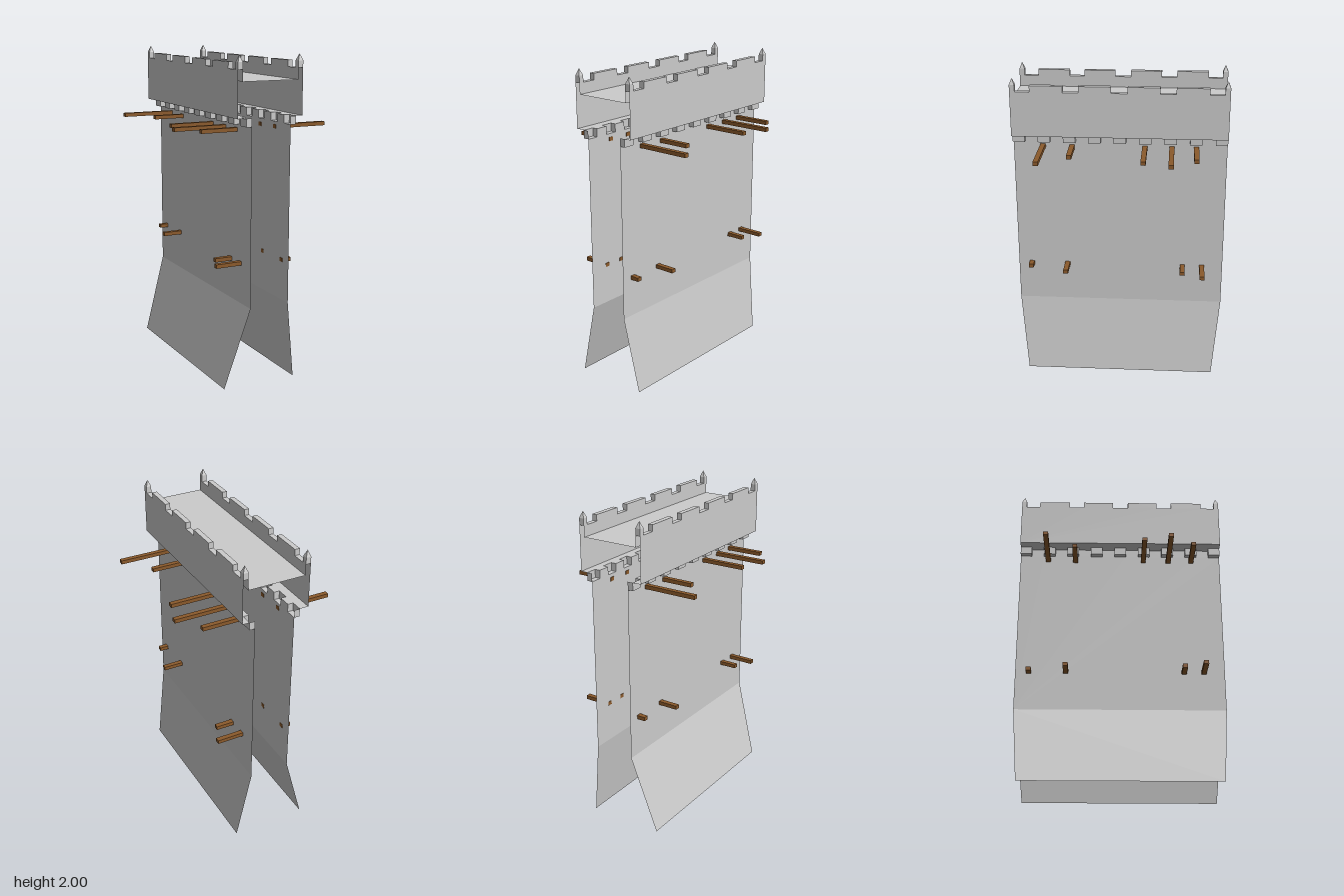
import * as THREE from 'three';

const END = 0.66, WALL_TOP = 1.64, CORBEL_LOW = 1.59, FLOOR = 1.85;
const CORBEL_DEPTH = 0.035, PARAPET = 0.032;
const stone = new THREE.MeshStandardMaterial({ color: 0xcccccc, flatShading: true, side: THREE.DoubleSide });
const wood = new THREE.MeshStandardMaterial({ color: 0x8b5a2b, flatShading: true });

function mesh(name, geometry, material = stone) {
  const m = new THREE.Mesh(geometry, material);
  m.name = name;
  return m;
}

// Strip of flat quads joining two matching lines of [x, y, z] points
function strip(a, b) {
  const pos = [];
  for (let i = 0; i < a.length - 1; i++) {
    pos.push(...a[i], ...b[i], ...b[i + 1], ...a[i], ...b[i + 1], ...a[i + 1]);
  }
  const g = new THREE.BufferGeometry();
  g.setAttribute('position', new THREE.Float32BufferAttribute(pos, 3));
  g.computeVertexNormals();
  return g;
}

// Stepped [z, y] line: alternates between two heights at the given cuts
function stepped(cuts, first, second) {
  const path = [];
  for (let i = 0; i < cuts.length - 1; i++) {
    const y = i % 2 ? second : first;
    path.push([cuts[i], y], [cuts[i + 1], y]);
  }
  return path;
}

// Upright sheet facing +x, from a base height up to a stepped line
function sheet(path, base, x) {
  const shape = new THREE.Shape([[-END, base], [END, base], ...[...path].reverse()]
    .map(([z, y]) => new THREE.Vector2(z, y)));
  return new THREE.ShapeGeometry(shape).rotateY(Math.PI / 2).translate(x, 0, 0);
}

const ribbon = (path, x0, x1) =>
  strip(path.map(([z, y]) => [x0, y, z]), path.map(([z, y]) => [x1, y, z]));

// Nine corbels and the gaps between them
const corbelCuts = [-END];
for (let i = 0; i < 9; i++) {
  const c = (i - 4) * 0.156;
  if (i > 0) corbelCuts.push(c - 0.038);
  if (i < 8) corbelCuts.push(c + 0.038);
}
corbelCuts.push(END);
const corbelPath = stepped(corbelCuts, CORBEL_LOW, WALL_TOP);
const merlonPath = stepped([-END, -0.54, -0.34, -0.245, -0.05, 0.05, 0.245, 0.34, 0.54, END], 1.918, 1.957);

// Beams: [z, outer end x, y]
const BEAMS = [
  [0.477, 0.47, 1.56], [0.297, 0.33, 1.555], [-0.153, 0.415, 1.556], [-0.319, 0.47, 1.556], [-0.47, 0.365, 1.556],
  [0.575, 0.185, 0.753], [0.342, 0.258, 0.753], [-0.403, 0.242, 0.753], [-0.528, 0.298, 0.753],
];

function makeSide(name, { wall, outer, foot }) {
  const side = new THREE.Group();
  side.name = name;

  // Wall with its flared foot
  side.add(mesh('wall', sheet(corbelPath, 0.5, wall)));
  side.add(mesh('flaredFoot', strip(
    [[wall, 0.5, END], [wall, 0.5, -END]], [[foot, 0, 0.612], [foot, 0, -0.612]])));

  // Hollow corbels, open to the inside, and the ledge above them
  const face = wall + CORBEL_DEPTH;
  const closed = [[-END, WALL_TOP], ...corbelPath, [END, WALL_TOP]];
  side.add(mesh('corbels', ribbon(closed, wall, face)));
  for (let i = 0; i < corbelCuts.length - 1; i += 2) {
    const z0 = corbelCuts[i], z1 = corbelCuts[i + 1];
    side.add(mesh('corbelFace', strip(
      [[face, WALL_TOP, z1], [face, WALL_TOP, z0]], [[face, CORBEL_LOW, z1], [face, CORBEL_LOW, z0]])));
  }
  side.add(mesh('ledge', ribbon([[-END, WALL_TOP], [END, WALL_TOP]], face, outer)));

  // Parapet with merlons, open at both ends
  const inner = outer - PARAPET;
  side.add(mesh('parapetOuter', sheet(merlonPath, WALL_TOP, outer)));
  side.add(mesh('parapetInner', sheet(merlonPath, FLOOR, inner)));
  side.add(mesh('parapetTop', ribbon([...merlonPath].reverse(), outer, inner)));

  // Pointed posts at the corners
  for (const s of [-1, 1]) {
    const x = outer - PARAPET / 2, z = s * (END - PARAPET / 2);
    side.add(mesh('cornerPost', new THREE.BoxGeometry(PARAPET, 0.042, PARAPET).translate(x, 1.939, z)));
    side.add(mesh('postTip', new THREE.ConeGeometry(PARAPET / Math.SQRT2, 0.04, 4, 1)
      .rotateY(Math.PI / 4).translate(x, 1.98, z)));
  }

  // Timber beams sticking out of the wall
  for (const [z, end, y] of BEAMS) {
    const start = wall - 0.003;
    side.add(mesh('beam', new THREE.BoxGeometry(end - start, 0.024, 0.031)
      .translate((start + end) / 2, y, z), wood));
  }
  return side;
}

export function createModel() {
  const model = new THREE.Group();
  model.name = 'castleWall';
  model.add(makeSide('leftSide', { wall: 0.127, outer: 0.206, foot: 0.2 }));
  const right = makeSide('rightSide', { wall: 0.13, outer: 0.221, foot: 0.281 });
  right.rotation.y = Math.PI;
  model.add(right);

  // Walkway between the parapets
  model.add(mesh('walkway', strip(
    [[-0.189, FLOOR, -END], [-0.189, FLOOR, END]], [[0.174, FLOOR, -END], [0.174, FLOOR, END]]).scale(1, 1, 1)));
  return model;
}
